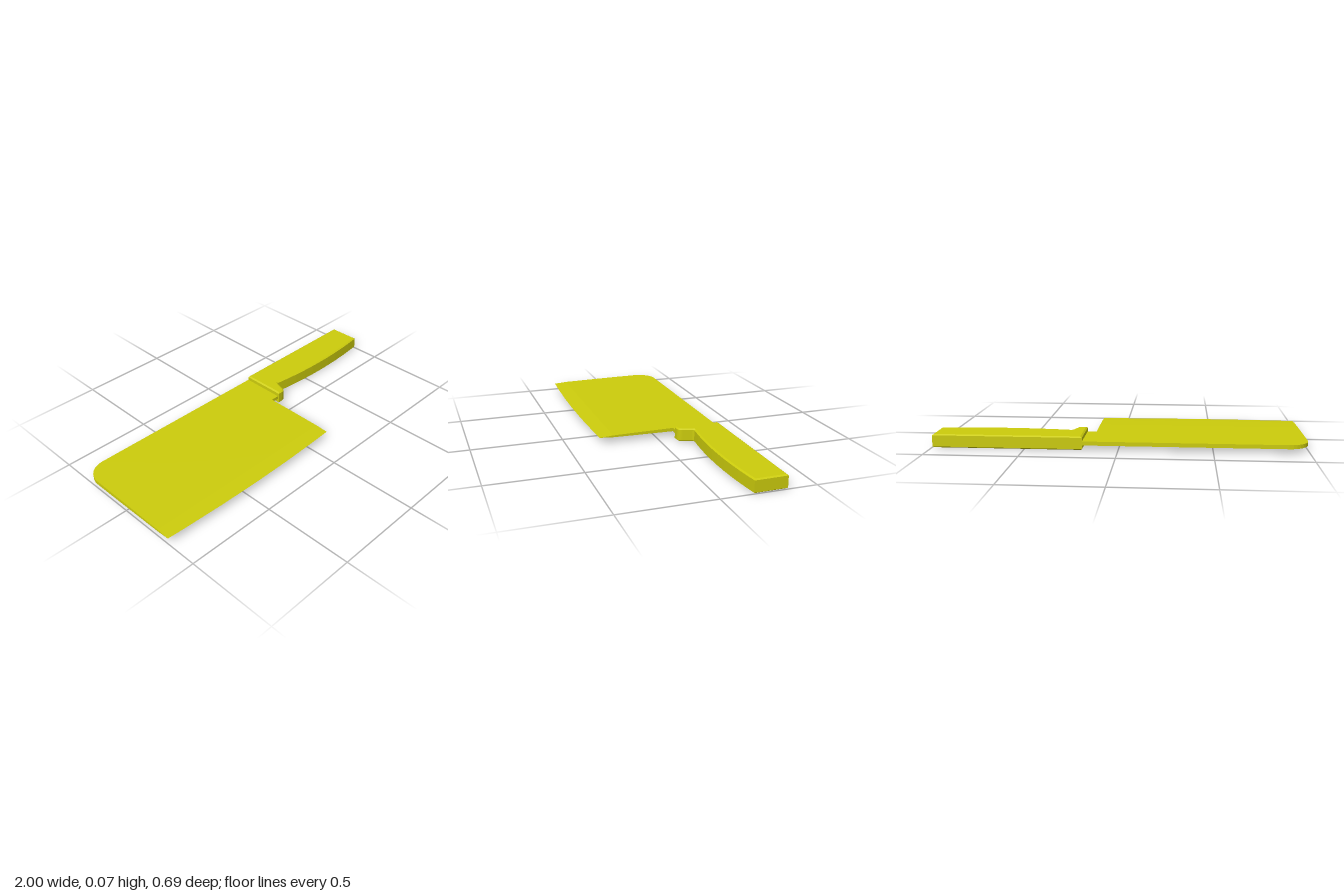
import * as THREE from 'three';

const MID = 0.037; // height of the blade's middle plane

// Blade half thickness: nearly even near the spine, tapering to a sharp edge
const TAPER = [[-0.345, 0.0108], [-0.09, 0.0095], [0.1, 0.0075], [0.25, 0.0052], [0.345, 0]];
function halfThickness(z) {
  for (let i = 1; i < TAPER.length; i++) {
    const [z0, t0] = TAPER[i - 1], [z1, t1] = TAPER[i];
    if (z <= z1) return t0 + (t1 - t0) * (z - z0) / (z1 - z0);
  }
  return 0;
}

// Skin closed sections along x; each column is [x, back z, front z]
function loftPlate(columns, rows, sharp) {
  const pos = [], idx = [], n = 2 * (rows.length + 2);
  for (const [x, back, front] of columns) {
    const zs = [back, ...rows.map((z) => Math.min(z, front)), front];
    const half = zs.map((z, k) => (sharp && k === zs.length - 1 ? 0 : halfThickness(z)));
    zs.forEach((z, k) => pos.push(x, MID + half[k], z));
    for (let k = zs.length - 1; k >= 0; k--) pos.push(x, MID - half[k], zs[k]);
  }
  const last = (columns.length - 1) * n;
  for (let c = 0; c < last; c += n) {
    for (let j = 0; j < n; j++) {
      const k = (j + 1) % n;
      idx.push(c + j, c + k, c + n + k, c + j, c + n + k, c + n + j);
    }
  }
  for (let j = 0; j < n / 2 - 1; j++) { // end caps
    const a = j, b = j + 1, c = n - 2 - j, d = n - 1 - j;
    idx.push(last + a, last + b, last + c, last + a, last + c, last + d);
    idx.push(a, c, b, a, d, c);
  }
  const indexed = new THREE.BufferGeometry();
  indexed.setAttribute('position', new THREE.Float32BufferAttribute(pos, 3));
  indexed.setIndex(idx);
  const geo = indexed.toNonIndexed();
  geo.computeVertexNormals();
  return geo;
}

export function createModel() {
  const group = new THREE.Group();
  group.name = 'cleaver';
  const yellow = new THREE.MeshStandardMaterial({ color: 0xcccc0c });
  yellow.name = 'yellow';
  const add = (name, geo) => {
    const mesh = new THREE.Mesh(geo, yellow);
    mesh.name = name;
    group.add(mesh);
  };

  // Blade: rounded rear tip corner and slightly bowed cutting edge
  const edgeAt = (x) => 0.342 - 0.017 * ((x + 0.43) / 0.57) ** 2;
  const columns = [];
  const R = 0.11;
  for (let i = 0; i <= 8; i++) {
    const a = (i / 8) * Math.PI / 2;
    const x = -1 + R * (1 - Math.cos(a));
    columns.push([x, -0.345 + R * (1 - Math.sin(a)), edgeAt(x)]);
  }
  for (const x of [-0.66, -0.43, -0.2, 0, 0.14]) columns.push([x, -0.345, edgeAt(x)]);
  add('blade', loftPlate(columns, [-0.09, 0.1, 0.25], true));

  // Neck running from the blade into the handle
  add('neck', loftPlate([[0.14, -0.345, -0.097], [0.23, -0.345, -0.097]], [-0.2], false));

  // Handle: chamfered slab with a finger guard and a bellied grip
  const s = new THREE.Shape();
  s.moveTo(0.19, -0.346);
  s.lineTo(0.997, -0.346);
  s.lineTo(1, -0.17);
  s.quadraticCurveTo(0.63, -0.122, 0.27, -0.172);
  s.lineTo(0.264, -0.165);
  s.lineTo(0.247, -0.113);
  s.quadraticCurveTo(0.24, -0.09, 0.215, -0.089);
  s.lineTo(0.19, -0.089);
  s.closePath();
  const bevel = 0.006, height = 0.073;
  const handle = new THREE.ExtrudeGeometry(s, {
    depth: height - 2 * bevel, bevelThickness: bevel, bevelSize: 0.009,
    bevelOffset: -0.009, bevelSegments: 1, curveSegments: 10,
  });
  handle.rotateX(Math.PI / 2);
  handle.translate(0, height - bevel, 0);
  add('handle', handle);
  return group;
}
